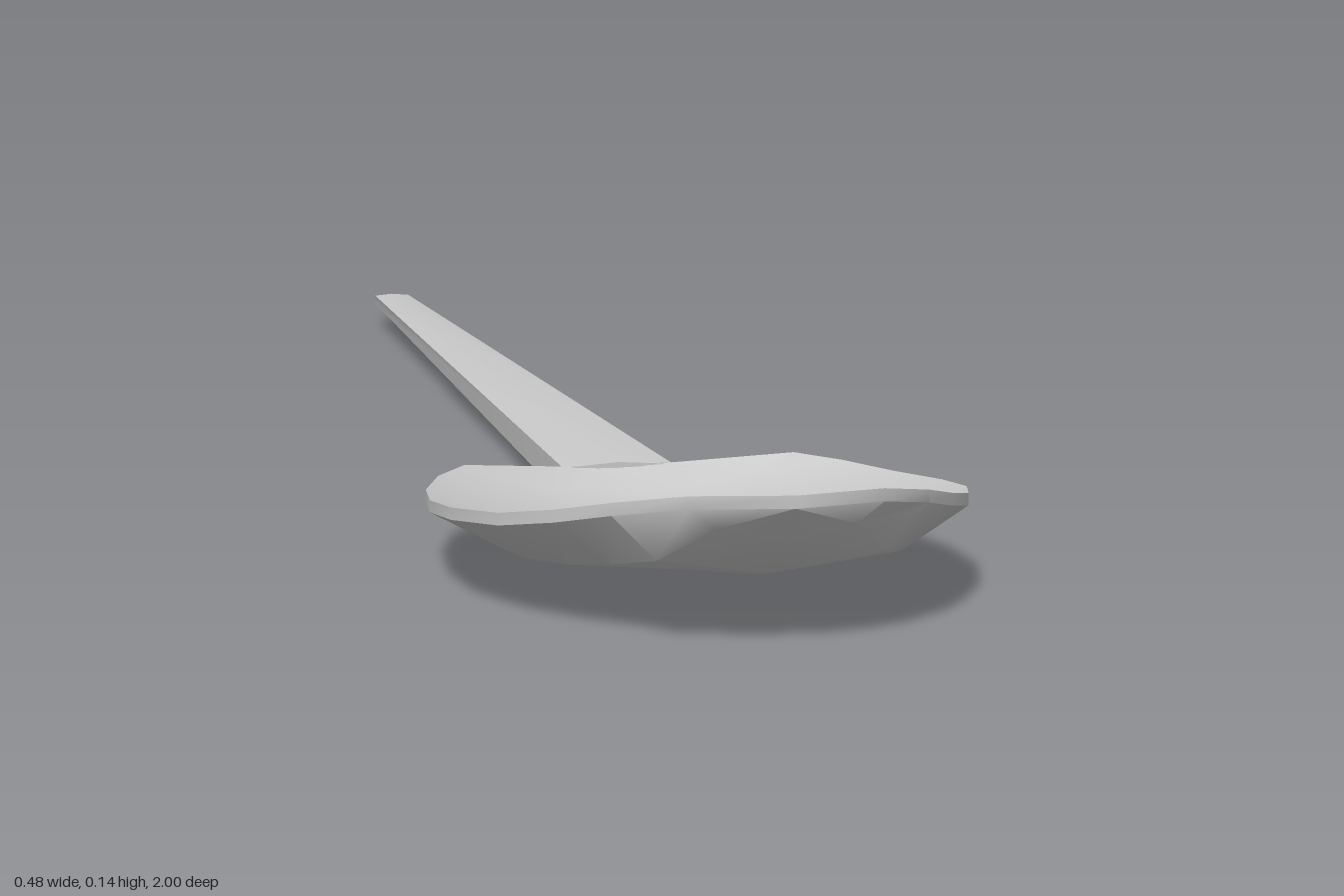
import * as THREE from 'three';
import { toCreasedNormals } from 'three/addons/utils/BufferGeometryUtils.js';

// Skin a list of equal-length rings (clockwise seen from +z, ordered by rising z) and cap both ends.
function loft(rings, crease) {
  const n = rings[0].length, index = [];
  for (let s = 0; s < rings.length - 1; s++) {
    for (let i = 0; i < n; i++) {
      const j = (i + 1) % n, a = s * n, b = a + n;
      index.push(a + i, b + i, b + j, a + i, b + j, a + j);
    }
  }
  const last = (rings.length - 1) * n;
  for (let i = 1; i < n - 1; i++) {
    index.push(0, i, i + 1, last, last + i + 1, last + i);
  }
  const geometry = new THREE.BufferGeometry();
  geometry.setAttribute('position', new THREE.Float32BufferAttribute(rings.flat(2), 3));
  geometry.setIndex(index);
  return toCreasedNormals(geometry, crease);
}

export function createModel() {
  const group = new THREE.Group();
  const material = new THREE.MeshStandardMaterial({ color: 0xcccccc });

  // Bowl stations: z, half width, rim height, keel height, inside floor height
  const bowlStations = [
    [0.375, 0.055, 0.052, 0.003, 0.050],
    [0.43, 0.165, 0.068, 0.005, 0.034],
    [0.48, 0.200, 0.068, 0.009, 0.029],
    [0.56, 0.226, 0.071, 0.014, 0.031],
    [0.66, 0.240, 0.081, 0.020, 0.037],
    [0.74, 0.236, 0.090, 0.028, 0.045],
    [0.82, 0.210, 0.100, 0.039, 0.056],
    [0.88, 0.175, 0.113, 0.050, 0.067],
    [0.93, 0.137, 0.127, 0.062, 0.080],
    [0.975, 0.083, 0.139, 0.104, 0.116],
    [1.0, 0.001, 0.141, 0.130, 0.141],
  ];
  const bowlRings = bowlStations.map(([z, w, rim, keel, floor]) => {
    const top = [-1, -0.75, -0.4, 0, 0.4, 0.75, 1]
      .map((f) => [f * w, floor + (rim - floor) * f * f, z]);
    const edge = rim - 0.011;
    const bottom = [1, 0.72, 0, -0.72, -1].map((f) => {
      const rise = Math.abs(f) === 1 ? 1 : f === 0 ? 0 : 0.27;
      return [f * w, keel + (edge - keel) * rise, z];
    });
    return [...top, ...bottom];
  });
  const bowl = new THREE.Mesh(loft(bowlRings, 0.6), material);
  bowl.name = 'bowl';
  group.add(bowl);

  // Handle stations: z, half width, ridge, upper edge, lower edge, keel
  const handleStations = [
    [-1.0, 0.009, 0.039, 0.038, 0.031, 0.030],
    [-0.98, 0.023, 0.043, 0.041, 0.030, 0.025],
    [0.378, 0.056, 0.055, 0.051, 0.021, 0.006],
  ];
  const handleRings = handleStations.map(([z, w, ridge, upper, lower, keel]) => [
    [-w, upper, z], [0, ridge, z], [w, upper, z],
    [w, lower, z], [0, keel, z], [-w, lower, z],
  ]);
  const handle = new THREE.Mesh(loft(handleRings, 0.6), material);
  handle.name = 'handle';
  group.add(handle);

  // Rest the keel on the ground
  group.children.forEach((part) => { part.position.y = -0.003; });
  return group;
}
